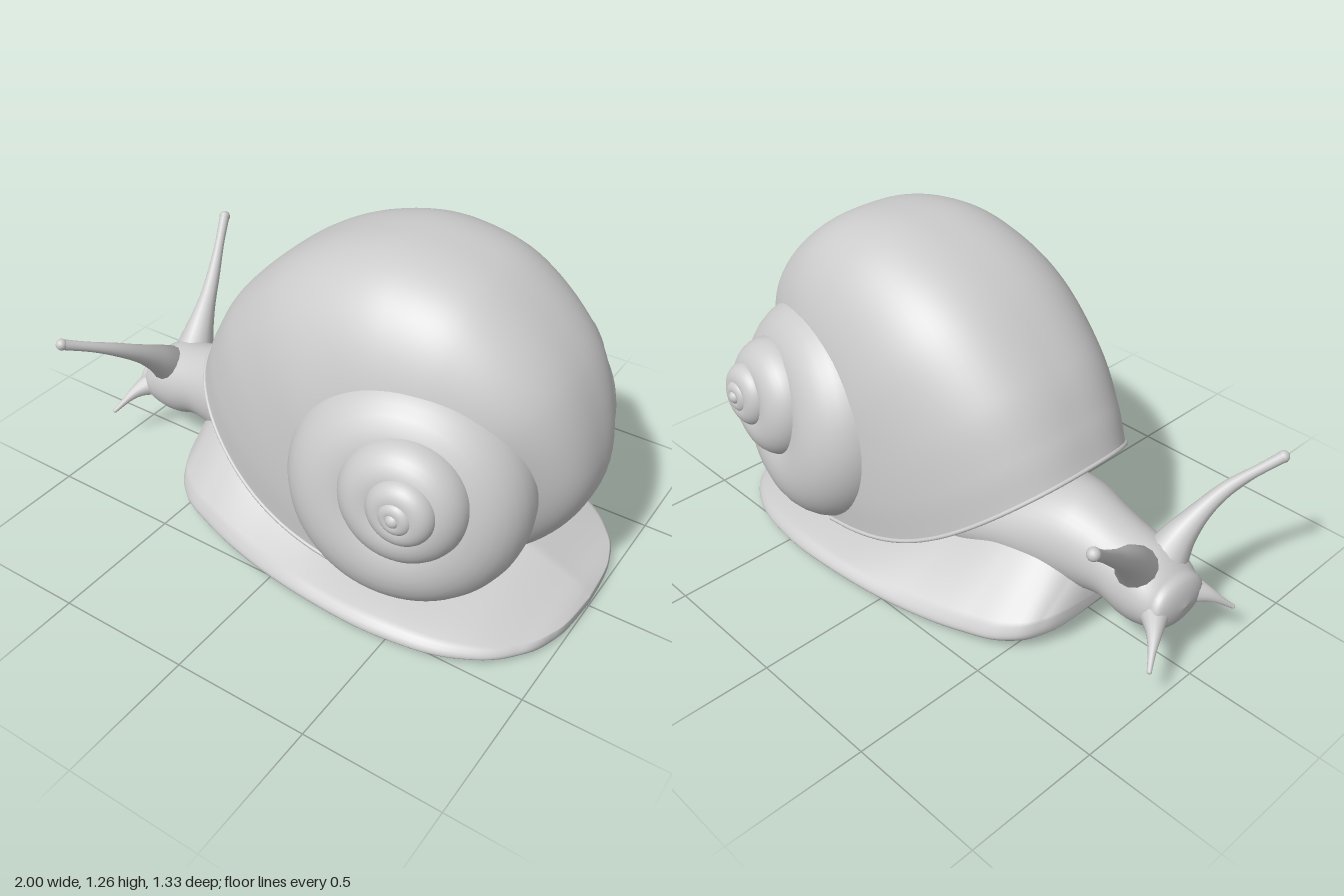
import * as THREE from 'three';
import { ParametricGeometry } from 'three/addons/geometries/ParametricGeometry.js';

const material = new THREE.MeshStandardMaterial({ color: 0xcccccc, side: THREE.DoubleSide });

function mesh(name, geometry) {
  const m = new THREE.Mesh(geometry, material);
  m.name = name;
  return m;
}

// Smooth interpolation through rows of values; times default to the row index
function track(rows, times = rows.map((_, i) => i)) {
  const interpolant = new THREE.CubicInterpolant(times, rows.flat(), rows[0].length);
  return (t) => [...interpolant.evaluate(t)];
}

// Eased 0..1, so rows gather at both ends
const ease = (u) => (1 - Math.cos(Math.PI * u)) / 2;

// Outer shell band: outer x, y / side x, y / half width / sag of the section
const band = track([
  [0.42, 0.17, 0.45, 0.4, 0.16, 0],
  [0.68, 0.16, 0.5, 0.45, 0.22, 0],
  [0.9, 0.37, 0.55, 0.5, 0.26, 0],
  [0.975, 0.62, 0.55, 0.6, 0.31, 0],
  [0.87, 0.95, 0.55, 0.63, 0.39, 0],
  [0.61, 1.19, 0.5, 0.67, 0.435, 0],
  [0.33, 1.26, 0.4, 0.7, 0.46, 0],
  [0.08, 1.22, 0.3, 0.67, 0.475, 0],
  [-0.15, 1.105, 0.24, 0.58, 0.49, 0],
  [-0.36, 0.91, 0.24, 0.45, 0.495, 0.02],
  [-0.47, 0.74, 0.26, 0.32, 0.495, 0.06],
  [-0.53, 0.61, 0.29, 0.2, 0.485, 0.1],
]);

function bandPoint(u, v, target) {
  const [ax, ay, bx, by, w, sag] = band(u * 11);
  const t = (v - 0.5) * Math.PI;
  const k = (1 - Math.cos(t)) ** 1.3;
  return target.set(ax + (bx - ax) * k, ay + (by - ay) * k - sag * Math.sin(Math.PI * k), w * Math.sin(t));
}

function shell() {
  const g = new THREE.Group();
  g.name = 'shell';
  g.add(mesh('shellBand', new ParametricGeometry(bandPoint, 90, 48)));

  // Rounded lip around the mouth, and the mantle closing it
  const lip = [];
  for (let i = 0; i <= 24; i++) lip.push(bandPoint(1, i / 24, new THREE.Vector3()));
  g.add(mesh('shellLip', new THREE.TubeGeometry(new THREE.CatmullRomCurve3(lip), 64, 0.008, 8)));
  g.add(mesh('mantle', new ParametricGeometry((u, v, p) => {
    bandPoint(1, 0.5 + u / 2, p);
    p.z *= 2 * v - 1;
  }, 24, 12)));

  // Spires of shrinking whorls: centre x, y, z / outer radius / tube radius / tilt about x, y
  const whorls = [
    [0.47, 0.55, 0.342, 0.415, 0.212, -0.14, 0.22],
    [0.54, 0.625, 0.5, 0.218, 0.112, -0.1, 0.15],
    [0.58, 0.65, 0.583, 0.117, 0.058, -0.05, 0.08],
    [0.585, 0.655, 0.622, 0.06, 0.03, 0, 0],
  ];
  for (const side of [1, -1]) {
    const spire = new THREE.Group();
    spire.name = side > 0 ? 'frontSpire' : 'backSpire';
    spire.scale.z = side;
    for (const [x, y, z, outer, tube, tiltX, tiltY] of whorls) {
      const whorl = mesh('whorl', new THREE.TorusGeometry(outer - tube, tube, 32, 72));
      whorl.position.set(x, y, z);
      whorl.rotation.set(tiltX, tiltY, 0);
      spire.add(whorl);
    }
    const apex = mesh('apex', new THREE.SphereGeometry(0.026, 16, 12));
    apex.position.set(0.587, 0.657, 0.638);
    spire.add(apex);
    g.add(spire);
  }
  return g;
}

// Foot: half width, underside, rim top, ridge height and slope exponent along x
function foot() {
  const xs = [-0.63, -0.61, -0.57, -0.5, -0.35, -0.1, 0.2, 0.5, 0.75, 0.9, 0.97, 0.992, 1];
  const section = track([
    [0, 0.13, 0.16, 0.19, 1], [0.17, 0.09, 0.14, 0.28, 1], [0.29, 0.06, 0.115, 0.36, 1],
    [0.37, 0.04, 0.09, 0.44, 1], [0.435, 0.02, 0.07, 0.48, 1], [0.5, 0.005, 0.055, 0.4, 1],
    [0.55, 0.015, 0.06, 0.22, 0.8], [0.555, 0.02, 0.06, 0.17, 0.6], [0.49, 0.015, 0.055, 0.15, 0.7],
    [0.37, 0.01, 0.05, 0.095, 0.8], [0.24, 0.01, 0.05, 0.065, 0.8], [0.13, 0.012, 0.045, 0.05, 0.8],
    [0, 0.015, 0.04, 0.045, 0.8],
  ], xs);
  return mesh('foot', new ParametricGeometry((u, v, p) => {
    const x = -0.63 + 1.63 * ease(u);
    const [w, low, rim, ridge, slope] = section(x);
    const c = Math.cos(v * 2 * Math.PI);
    const s = Math.sin(v * 2 * Math.PI);
    const mid = (low + rim) / 2;
    const edge = (rim - mid) * Math.max(-1, Math.min(1, s * 3));
    p.set(x, mid + edge + (s > 0 ? (ridge - rim) * (1 - Math.abs(c)) ** slope : 0), w * c);
  }, 80, 64));
}

// Head and neck: centre height, half height and half width along x
function headAndNeck() {
  const xs = [-0.955, -0.945, -0.9, -0.83, -0.77, -0.68, -0.6, -0.5, -0.3, -0.05, 0.2];
  const section = track([
    [0.27, 0, 0], [0.27, 0.05, 0.08], [0.275, 0.1, 0.125], [0.285, 0.14, 0.145], [0.288, 0.148, 0.145],
    [0.31, 0.145, 0.145], [0.315, 0.165, 0.155], [0.32, 0.185, 0.18], [0.3, 0.18, 0.22],
    [0.25, 0.14, 0.25], [0.2, 0, 0],
  ], xs);
  return mesh('headAndNeck', new ParametricGeometry((u, v, p) => {
    const x = -0.955 + 1.155 * ease(u);
    const [y, h, w] = section(x);
    const a = v * 2 * Math.PI;
    p.set(x, y + h * Math.sin(a), w * Math.cos(a));
  }, 70, 40));
}

// Tapered feeler along a curve, with a rounded tip
function feeler(name, points, radii) {
  const path = new THREE.CatmullRomCurve3(points.map((q) => new THREE.Vector3(...q)));
  const rings = 32, sides = 14;
  const tube = new THREE.TubeGeometry(path, rings, 1, sides);
  const radius = track(radii.map((r) => [r]));
  const pos = tube.attributes.position;
  const p = new THREE.Vector3();
  for (let i = 0; i < pos.count; i++) {
    const u = Math.floor(i / (sides + 1)) / rings;
    const c = path.getPointAt(u);
    p.fromBufferAttribute(pos, i).sub(c).multiplyScalar(radius(u * (radii.length - 1))[0]).add(c);
    pos.setXYZ(i, p.x, p.y, p.z);
  }
  const g = new THREE.Group();
  g.name = name;
  const tip = mesh('tip', new THREE.SphereGeometry(radii.at(-1) * 1.1, 14, 10));
  tip.position.copy(path.getPoint(1));
  g.add(mesh('stalk', tube), tip);
  return g;
}

export function createModel() {
  const model = new THREE.Group();
  model.name = 'snail';
  model.add(shell(), foot(), headAndNeck());

  // The two eye stalks are raised to different heights
  const stalkRadii = [0.09, 0.058, 0.036, 0.026, 0.019, 0.02];
  model.add(feeler('backEyeStalk',
    [[-0.79, 0.34, -0.04], [-0.81, 0.44, -0.12], [-0.86, 0.57, -0.27], [-0.945, 0.755, -0.475]], stalkRadii));
  model.add(feeler('frontEyeStalk',
    [[-0.81, 0.34, 0.04], [-0.82, 0.43, 0.13], [-0.86, 0.54, 0.29], [-0.95, 0.63, 0.475]], stalkRadii));

  // Short lower feelers
  for (const side of [1, -1]) {
    model.add(feeler(side > 0 ? 'frontLowerFeeler' : 'backLowerFeeler',
      [[-0.88, 0.27, side * 0.07], [-0.94, 0.23, side * 0.14], [-0.993, 0.16, side * 0.22]],
      [0.07, 0.035, 0.016, 0.008]));
  }
  return model;
}
